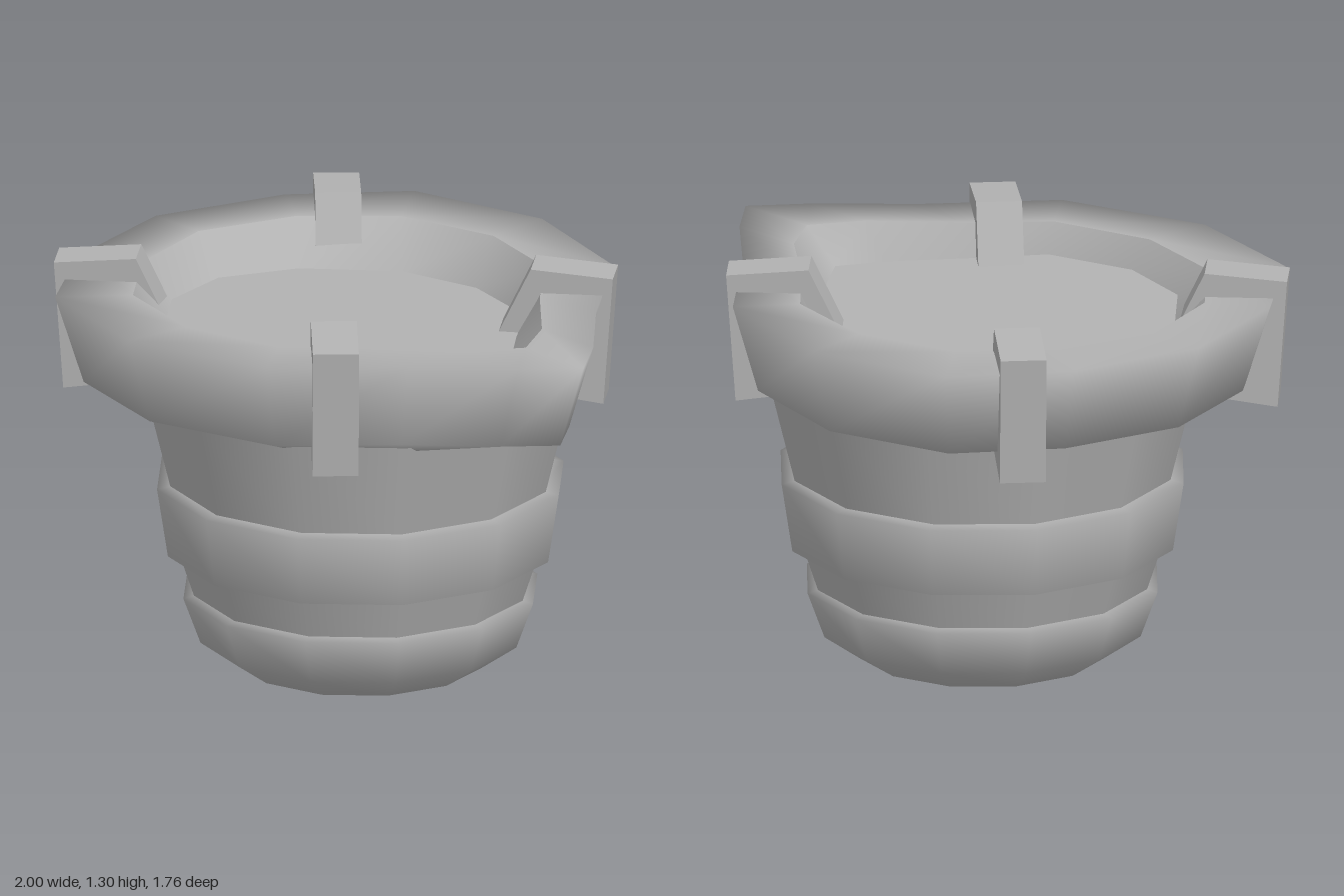
import * as THREE from 'three';

const AXIS_X = -0.043; // centre of the round body

// Closed outline from half a list of [x, z] points, mirrored across z
function outline(half) {
  const back = half.slice(1, -1).reverse().map(([x, z]) => [x, -z]);
  return [...half, ...back];
}

// Ring of 3D points at a height, optionally tilted along z
const ring = (pts, y, tilt = 0) => pts.map(([x, z]) => [x, y + tilt * z, z]);

// Smooth skin through rings with equal point counts
function loft(rings) {
  const n = rings[0].length;
  const index = [];
  for (let r = 0; r < rings.length - 1; r++) {
    for (let i = 0; i < n; i++) {
      const j = (i + 1) % n;
      const a = r * n + i, b = r * n + j, c = a + n, d = b + n;
      index.push(a, b, d, a, d, c);
    }
  }
  const geo = new THREE.BufferGeometry();
  geo.setAttribute('position', new THREE.Float32BufferAttribute(rings.flat(2), 3));
  geo.setIndex(index);
  geo.computeVertexNormals();
  return geo;
}

export function createModel() {
  const group = new THREE.Group();
  const stone = new THREE.MeshStandardMaterial({ color: 0xb2b2b2 });
  stone.name = 'grey stone';

  function add(name, geo, parent = group) {
    const mesh = new THREE.Mesh(geo, stone);
    mesh.name = name;
    parent.add(mesh);
    return mesh;
  }

  // Round body: twelve-sided bands and recessed necks
  const profiles = {
    baseBand: [[0.4, 0], [0.515, 0.08], [0.57, 0.23], [0.51, 0.245]],
    lowerNeck: [[0.53, 0.22], [0.585, 0.385]],
    middleBand: [[0.56, 0.36], [0.62, 0.375], [0.655, 0.6], [0.59, 0.612]],
    upperNeck: [[0.608, 0.59], [0.69, 0.92]],
  };
  for (const [name, pts] of Object.entries(profiles)) {
    const geo = new THREE.LatheGeometry(pts.map(([r, y]) => new THREE.Vector2(r, y)), 12);
    add(name, geo).position.x = AXIS_X;
  }
  const bottom = add('underside', new THREE.CircleGeometry(0.4, 12));
  bottom.rotation.x = Math.PI / 2;
  bottom.position.x = AXIS_X;

  // Flared rim with a pouring lip toward +x
  const outer = outline([[-1, 0], [-0.88, 0.44], [-0.63, 0.765], [-0.16, 0.88],
    [0.33, 0.74], [0.62, 0.4], [0.87, 0.16], [1, 0]]);
  const inner = outline([[-0.8, 0], [-0.7, 0.33], [-0.48, 0.57], [-0.14, 0.655],
    [0.2, 0.57], [0.4, 0.36], [0.63, 0.16], [0.73, 0]]);
  const fill = outline([[-0.68, 0], [-0.6, 0.27], [-0.38, 0.51], [-0.11, 0.58],
    [0.19, 0.51], [0.36, 0.32], [0.54, 0.13], [0.63, 0]]);
  const lower = outer.map(([x, z]) => [-0.09 + (x + 0.09) * 0.9, z * 0.905]);
  const under = outer.map(([x, z]) => {
    const k = 0.66 / Math.hypot(x - AXIS_X, z);
    return [AXIS_X + (x - AXIS_X) * k, z * k];
  });
  add('rim', loft([ring(under, 0.9), ring(lower, 0.935), ring(outer, 1.22), ring(inner, 1.22)]));

  // Inner wall and the slightly tilted floor
  const floorRing = ring(fill.map(([x, z]) => [x, z + 0.025]), 1.1, 0.04);
  add('innerWall', loft([ring(inner, 1.22), floorRing]));
  add('floor', loft([floorRing, floorRing.map(() => [-0.05, 1.101, 0.025])]));

  // Four C-shaped clamps gripping the rim
  const section = new THREE.Shape([
    [0, 1.275], [-0.26, 1.297], [-0.37, 1.07], [-0.29, 1.07], [-0.2, 1.2],
    [-0.1, 1.2], [-0.13, 0.97], [-0.28, 0.95], [-0.28, 0.895], [-0.03, 0.86],
  ].map(([u, y]) => new THREE.Vector2(u, y)));
  const width = 0.145;
  const clampGeo = new THREE.ExtrudeGeometry(section, { depth: width, bevelEnabled: false });
  clampGeo.translate(0, 0, -width / 2);
  for (const sx of [-1, 1]) {
    for (const sz of [-1, 1]) {
      const name = (sz > 0 ? 'front' : 'back') + (sx > 0 ? 'Left' : 'Right') + 'Clamp';
      const clamp = add(name, clampGeo);
      clamp.position.set(-0.157 + sx * 0.653, 0, sz * 0.595);
      clamp.rotation.y = -Math.atan2(sz * 0.655, sx * 0.757);
    }
  }
  return group;
}
